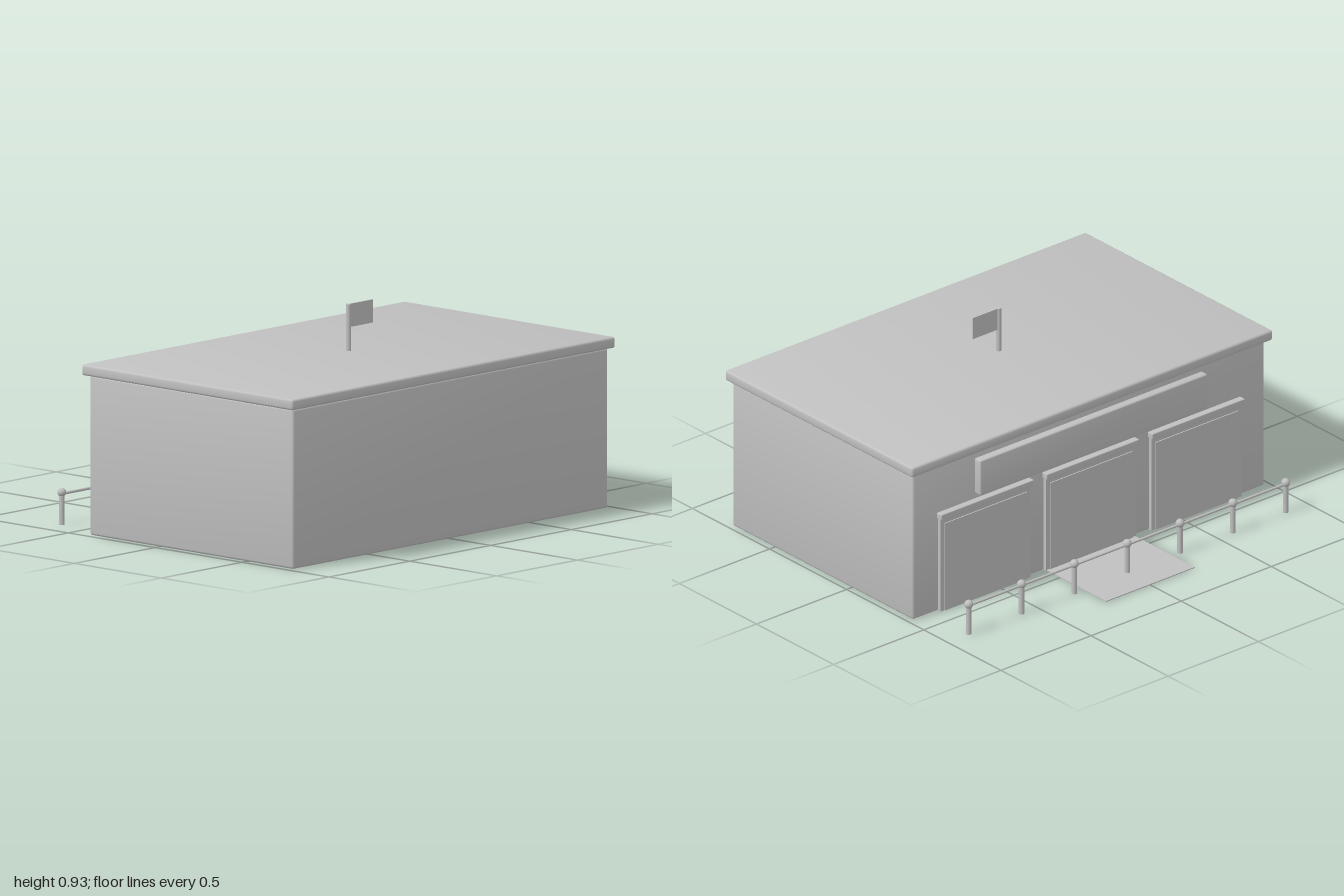
import * as THREE from 'three';
import { RoundedBoxGeometry } from 'three/addons/geometries/RoundedBoxGeometry.js';

const grey = new THREE.MeshStandardMaterial({ name: 'plain grey', color: 0xc0c0c0 });

function add(parent, name, geometry, x = 0, y = 0, z = 0) {
  const mesh = new THREE.Mesh(geometry, grey);
  mesh.name = name;
  mesh.position.set(x, y, z);
  parent.add(mesh);
  return mesh;
}

// Box given by its extents
function box(parent, name, [x0, x1], [y0, y1], [z0, z1], geometry) {
  const g = geometry ?? new THREE.BoxGeometry(x1 - x0, y1 - y0, z1 - z0);
  return add(parent, name, g, (x0 + x1) / 2, (y0 + y1) / 2, (z0 + z1) / 2);
}

// Bevelled box whose normals lean outward at the corners for soft shading
function softBox(parent, name, xs, ys, zs, radius, lean) {
  const g = new RoundedBoxGeometry(xs[1] - xs[0], ys[1] - ys[0], zs[1] - zs[0], 2, radius);
  const p = g.attributes.position, n = g.attributes.normal, v = new THREE.Vector3();
  for (let i = 0; i < p.count; i++) {
    v.fromBufferAttribute(n, i);
    v.x += lean * Math.sign(p.getX(i));
    v.y += lean * Math.sign(p.getY(i));
    v.z += lean * Math.sign(p.getZ(i));
    v.normalize();
    n.setXYZ(i, v.x, v.y, v.z);
  }
  return box(parent, name, xs, ys, zs, g);
}

export function createModel() {
  const model = new THREE.Group();
  model.name = 'building';

  // Main block and overhanging roof slab
  softBox(model, 'walls', [-0.975, 0.975], [0, 0.685], [-0.4, 0.77], 0.01, 0.15);
  softBox(model, 'roof', [-1, 1], [0.685, 0.732], [-0.425, 0.79], 0.01, 0.15);

  // Blank sign board above the doors
  softBox(model, 'signBoard', [-0.63, 0.63], [0.485, 0.65], [-0.435, -0.39], 0.007, 0.1);

  // Three entrances: frame, door panel and lintel
  for (const x of [-0.585, 0, 0.585]) {
    const entrance = new THREE.Group();
    entrance.name = 'entrance';
    entrance.position.x = x;
    box(entrance, 'doorFrame', [-0.25, 0.25], [0, 0.437], [-0.415, -0.39]);
    box(entrance, 'doorPanel', [-0.228, 0.228], [0, 0.41], [-0.42, -0.39]);
    softBox(entrance, 'lintel', [-0.257, 0.257], [0.435, 0.462], [-0.43, -0.39], 0.004, 0);
    model.add(entrance);
  }

  // Carpet leading to the middle door
  box(model, 'carpet', [-0.245, 0.245], [0, 0.004], [-0.8, -0.4]);

  // Row of ball-topped posts joined by a rope
  const barrier = new THREE.Group();
  barrier.name = 'barrier';
  barrier.position.z = -0.65;
  const postShape = new THREE.CylinderGeometry(0.012, 0.012, 0.13, 16);
  const ballShape = new THREE.SphereGeometry(0.019, 16, 12);
  for (let i = -3; i <= 3; i++) {
    add(barrier, 'post', postShape, i * 0.293, 0.065);
    add(barrier, 'postBall', ballShape, i * 0.293, 0.139);
  }
  const rope = add(barrier, 'rope', new THREE.CylinderGeometry(0.006, 0.006, 1.758, 10), 0, 0.133);
  rope.rotation.z = Math.PI / 2;
  model.add(barrier);

  // Flag on the roof
  add(model, 'flagPole', new THREE.CylinderGeometry(0.011, 0.011, 0.21, 14), 0, 0.827, 0.183);
  box(model, 'flag', [0.005, 0.146], [0.833, 0.932], [0.179, 0.187]);

  return model;
}
